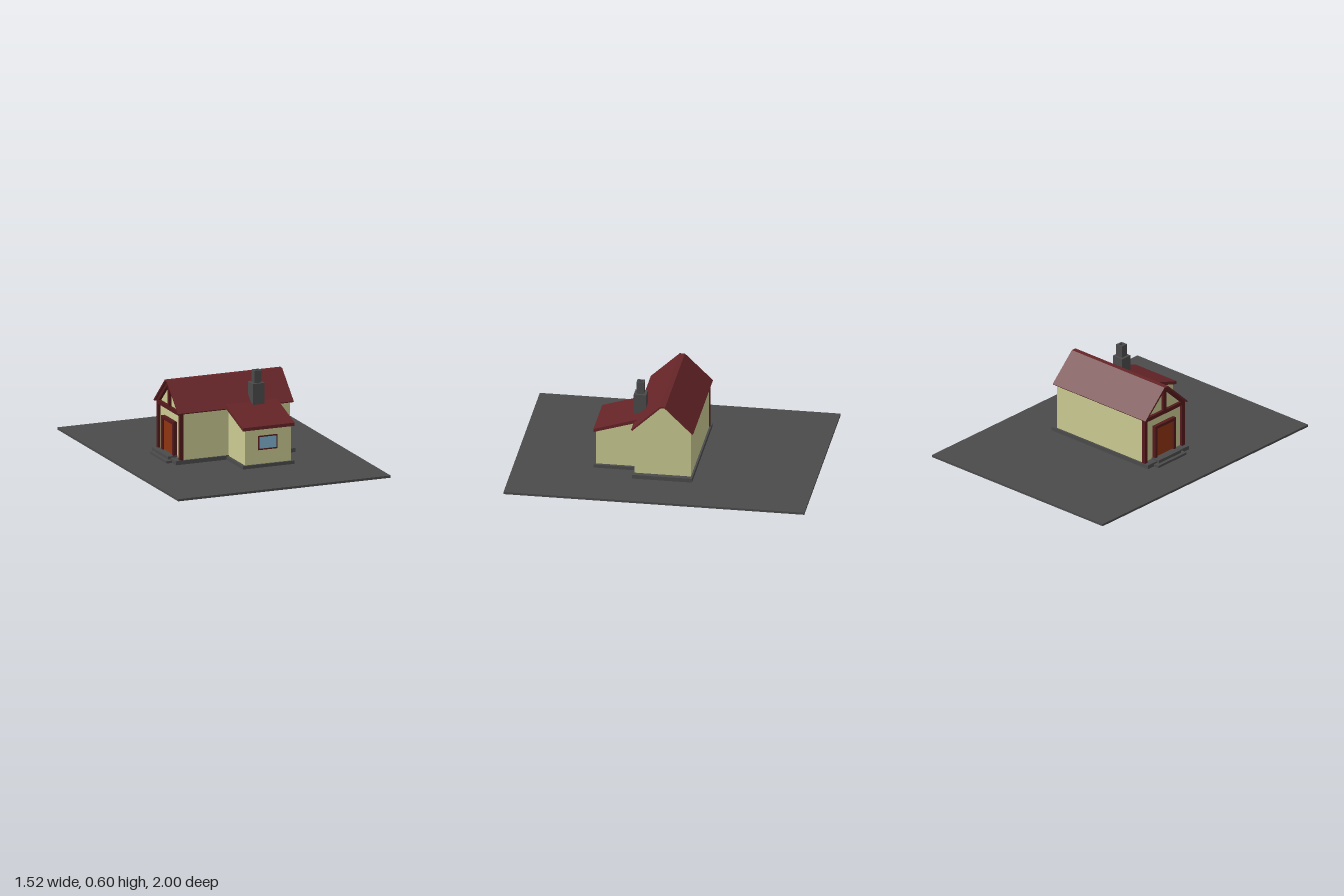
import * as THREE from 'three';

const mat = (color) => new THREE.MeshStandardMaterial({ color, flatShading: true });

export function createModel() {
  const house = new THREE.Group();
  house.name = 'house';
  const stone = mat(0x4b4b4b), plaster = mat(0xcaca92), tile = mat(0x652427);
  const timber = mat(0x551a1c), doorRed = mat(0x8f3412), glass = mat(0x7fb4d0);

  const add = (name, geometry, material) => {
    const mesh = new THREE.Mesh(geometry, material);
    mesh.name = name;
    house.add(mesh);
    return mesh;
  };
  // Box given by its limits on each axis
  const box = (name, material, [x0, x1], [y0, y1], [z0, z1]) =>
    add(name, new THREE.BoxGeometry(x1 - x0, y1 - y0, z1 - z0)
      .translate((x0 + x1) / 2, (y0 + y1) / 2, (z0 + z1) / 2), material);
  // Side profile of [z, y] points, extruded from x0 to x1
  const profile = (name, material, [x0, x1], points) => {
    const shape = new THREE.Shape(points.map(([z, y]) => new THREE.Vector2(z, y)));
    const geometry = new THREE.ExtrudeGeometry(shape, { depth: x1 - x0, bevelEnabled: false });
    return add(name, geometry.rotateY(-Math.PI / 2).translate(x1, 0, 0), material);
  };

  // Ground, foundations and entrance steps
  box('ground', stone, [-0.76, 0.76], [0, 0.015], [-1, 1]);
  box('foundation', stone, [-0.43, 0.425], [0.015, 0.042], [-0.2, 0.2]);
  box('annexFoundation', stone, [-0.07, 0.3], [0.015, 0.037], [0.19, 0.475]);
  box('lowerStep', stone, [-0.47, -0.42], [0.015, 0.031], [-0.14, 0.135]);
  box('upperStep', stone, [-0.447, -0.38], [0.015, 0.052], [-0.11, 0.105]);

  // Main house walls and gable roof
  profile('walls', plaster, [-0.38, 0.39],
    [[-0.188, 0.04], [0.188, 0.04], [0.188, 0.368], [0.012, 0.535], [-0.016, 0.535], [-0.188, 0.368]]);
  profile('roof', tile, [-0.415, 0.41], [
    [0.207, 0.363], [0.014, 0.543], [-0.02, 0.543], [-0.207, 0.363],
    [-0.2, 0.355], [-0.016, 0.533], [0.01, 0.533], [0.2, 0.355]]);

  // Lean-to annex
  profile('annexWalls', plaster, [-0.05, 0.28],
    [[0.18, 0.03], [0.46, 0.03], [0.46, 0.284], [0.18, 0.37]]);
  profile('annexRoof', tile, [-0.07, 0.3],
    [[0.17, 0.367], [0.475, 0.273], [0.475, 0.295], [0.17, 0.39]]);

  // Annex window
  box('windowGlass', glass, [0.05, 0.175], [0.14, 0.22], [0.45, 0.462]);
  for (const x of [0.044, 0.174]) box('windowJamb', timber, [x, x + 0.008], [0.132, 0.228], [0.455, 0.467]);
  for (const y of [0.132, 0.22]) box('windowRail', timber, [0.052, 0.174], [y, y + 0.008], [0.455, 0.467]);

  // Hollow chimney
  box('chimneyBase', stone, [0.112, 0.194], [0.36, 0.515], [0.142, 0.224]);
  const square = (path, r) => path.moveTo(-r, -r).lineTo(r, -r).lineTo(r, r).lineTo(-r, r).lineTo(-r, -r);
  const flue = square(new THREE.Shape(), 0.025);
  flue.holes.push(square(new THREE.Path(), 0.014));
  add('chimneyFlue', new THREE.ExtrudeGeometry(flue, { depth: 0.083, bevelEnabled: false })
    .rotateX(-Math.PI / 2).translate(0.153, 0.515, 0.183), stone);

  // Timber framing on the entrance gable
  const beamX = [-0.4, -0.375];
  for (const s of [-1, 1]) {
    const z = s * 0.181;
    box('cornerPost', timber, beamX, [0.042, 0.362], [z - 0.013, z + 0.013]);
    const rafter = [[0.195, 0.361], [0.01, 0.535], [0.0, 0.515], [0.165, 0.361]];
    profile('rafter', timber, beamX, rafter.map(([pz, py]) => [s * pz, py]));
  }
  box('tieBeam', timber, beamX, [0.34, 0.366], [-0.19, 0.19]);
  box('kingPost', timber, beamX, [0.366, 0.53], [-0.013, 0.013]);

  // Entrance door with frame and handle
  box('door', doorRed, [-0.393, -0.375], [0.05, 0.262], [-0.08, 0.08]);
  for (const z of [-0.1, 0.08]) box('doorJamb', timber, [-0.406, -0.375], [0.05, 0.28], [z, z + 0.02]);
  box('doorLintel', timber, [-0.406, -0.375], [0.26, 0.28], [-0.08, 0.08]);

  return house;
}
